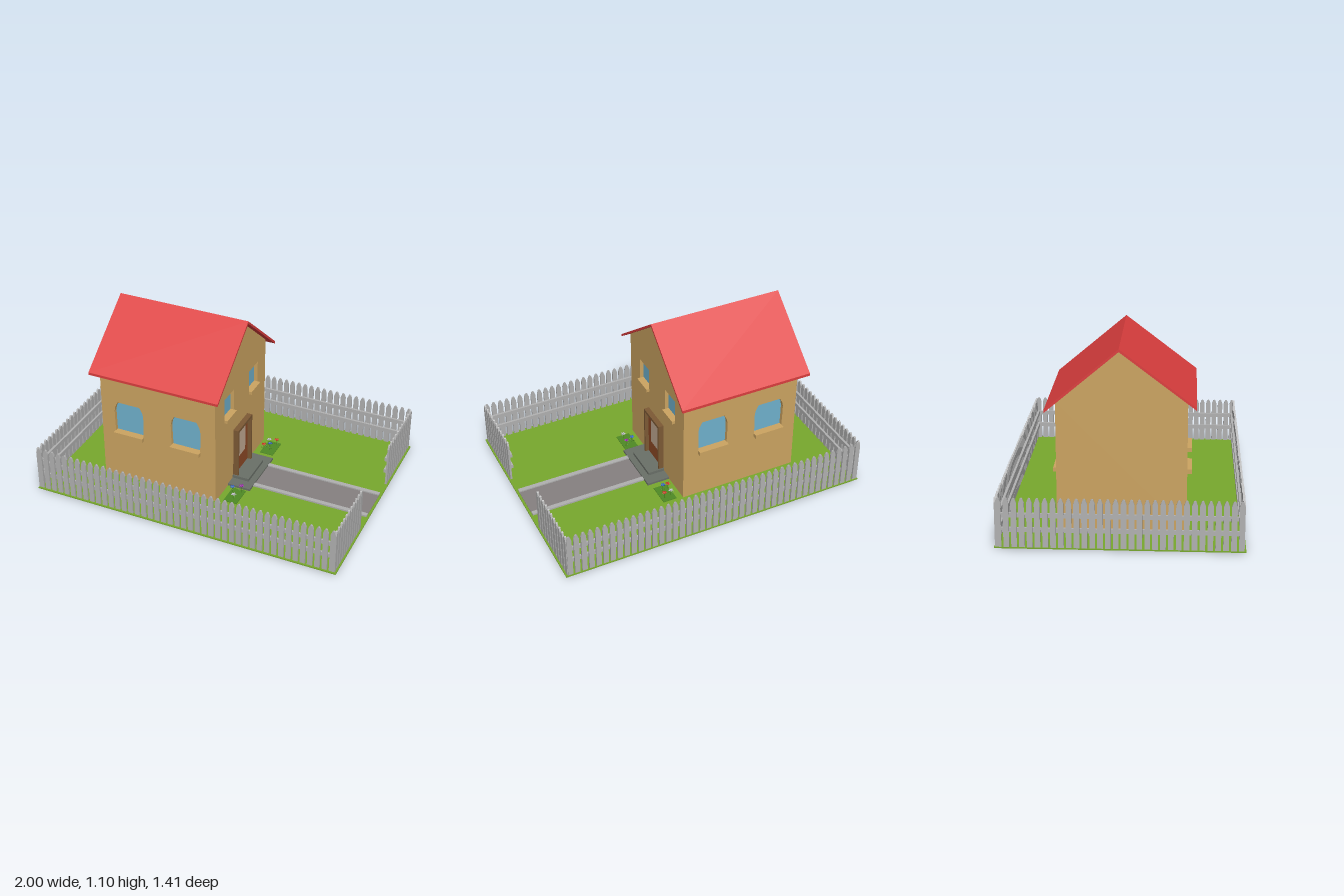
import * as THREE from 'three';
import { mergeGeometries } from 'three/addons/utils/BufferGeometryUtils.js';

const mat = (color) => new THREE.MeshStandardMaterial({ color, flatShading: true, side: THREE.DoubleSide });
const M = {
  grass: mat(0x78a82d), wall: mat(0xcca461), roof: mat(0xdc3e3e), glass: mat(0x70b1cd),
  frame: mat(0x7d5a35), door: mat(0x8f4a26), pane: mat(0xc4ab94), step: mat(0x6a7068),
  path: mat(0x868180), kerb: mat(0xb0b0b0), fence: mat(0xb2b2b2), leaf: mat(0x4f8a25),
  red: mat(0xd03020), blue: mat(0x3060c8), purple: mat(0xa020b0), white: mat(0xb8b8c0),
};

export function createModel() {
  const root = new THREE.Group();
  const add = (name, geo, m, parent = root) => {
    const mesh = new THREE.Mesh(geo, m);
    mesh.name = name;
    parent.add(mesh);
    return mesh;
  };
  // Box given by its min and max corners
  const box = (name, m, x0, x1, y0, y1, z0, z1, parent = root) => {
    const b = add(name, new THREE.BoxGeometry(x1 - x0, y1 - y0, z1 - z0), m, parent);
    b.position.set((x0 + x1) / 2, (y0 + y1) / 2, (z0 + z1) / 2);
    return b;
  };
  const poly = (pts) => new THREE.Shape(pts.map((p) => new THREE.Vector2(...p)));
  const extrude = (shape, depth) => new THREE.ExtrudeGeometry(shape, { depth, bevelEnabled: false });

  // Ground
  box('lawn', M.grass, -1, 1, 0.006, 0.013, -0.71, 0.705);
  box('foundationStrip', M.frame, -0.7, 0.08, 0.004, 0.012, -0.385, -0.26);

  // House walls with window openings
  const house = new THREE.Group();
  house.name = 'house';
  root.add(house);
  const T = 0.03;
  const windowXs = [-0.51, -0.12];
  const arch = (c) => [[c - 0.097, 0.34], [c + 0.097, 0.34], [c + 0.1, 0.44], [c + 0.1, 0.5],
    [c + 0.094, 0.53], [c + 0.075, 0.565], [c - 0.075, 0.565], [c - 0.094, 0.53], [c - 0.1, 0.5], [c - 0.1, 0.44]];
  for (const [name, face, s] of [['front', 0.37, 1], ['back', -0.385, -1]]) {
    const shape = poly([[-0.68, 0.01], [0.06, 0.01], [0.06, 0.785], [-0.68, 0.785]]);
    for (const c of windowXs) shape.holes.push(poly(arch(c)));
    add(name + 'Wall', extrude(shape, T), M.wall, house).position.z = s > 0 ? face - T : face;
    for (const c of windowXs) {
      const zg = face - s * 0.027;
      box(name + 'WindowGlass', M.glass, c - 0.11, c + 0.11, 0.32, 0.58, zg - 0.003, zg + 0.003, house);
      const zs = face + s * 0.003;
      box(name + 'WindowSill', M.wall, c - 0.1, c + 0.1, 0.328, 0.354, zs - 0.024, zs + 0.024, house);
    }
  }
  // Gable outlines run along -z
  const gable = () => poly([[-0.37, 0.01], [0.385, 0.01], [0.385, 0.78], [0.02, 1.088], [-0.37, 0.79]]);
  const rightGable = gable();
  for (const c of [-0.167, 0.197]) {
    rightGable.holes.push(poly([[c - 0.068, 0.52], [c + 0.068, 0.52], [c + 0.068, 0.68], [c - 0.068, 0.68]]));
    box('gableWindowGlass', M.glass, 0.05, 0.056, 0.5, 0.7, -c - 0.08, -c + 0.08, house);
    box('gableWindowSill', M.wall, 0.055, 0.1, 0.514, 0.534, -c - 0.068, -c + 0.068, house);
  }
  for (const [name, shape, x] of [['doorGable', rightGable, 0.08 - T], ['plainGable', gable(), -0.7]]) {
    const g = add(name, extrude(shape, T), M.wall, house);
    g.rotation.y = Math.PI / 2;
    g.position.x = x;
  }

  // Roof: one folded sheet along x
  const roof = add('roof', extrude(poly([[-0.42, 0.752], [-0.42, 0.768], [0.02, 1.104], [0.445, 0.746],
    [0.445, 0.728], [0.02, 1.087]]), 0.87), M.roof, house);
  roof.rotation.y = Math.PI / 2;
  roof.position.x = -0.75;

  // Door with frame and pane
  const entrance = new THREE.Group();
  entrance.name = 'entrance';
  root.add(entrance);
  for (const s of [-1, 1]) box('doorPost', M.frame, 0.075, 0.115, 0.02, 0.385, s * 0.1 - 0.007, s * 0.1 + 0.007, entrance);
  box('doorLintel', M.frame, 0.075, 0.115, 0.367, 0.385, -0.107, 0.107, entrance);
  box('door', M.door, 0.078, 0.09, 0.04, 0.37, -0.095, 0.095, entrance);
  box('doorPane', M.pane, 0.085, 0.092, 0.15, 0.33, -0.052, 0.052, entrance);

  // Steps and path
  box('lowerStep', M.step, 0.04, 0.23, 0, 0.027, -0.187, 0.187);
  box('upperStep', M.step, 0.07, 0.19, 0.027, 0.046, -0.115, 0.115);
  box('path', M.path, 0.225, 0.985, 0.01, 0.016, -0.105, 0.105);
  for (const s of [-1, 1]) box('pathKerb', M.kerb, 0.225, 0.985, 0.01, 0.024, s * 0.117 - 0.014, s * 0.117 + 0.014);

  // Flower beds
  box('flowerBed', M.leaf, 0.12, 0.21, 0.008, 0.017, -0.375, -0.23);
  box('flowerBed', M.leaf, 0.12, 0.21, 0.008, 0.017, 0.2, 0.345);
  const flowers = [[0.14, -0.335, 'white'], [0.19, -0.345, 'red'], [0.17, -0.28, 'blue'], [0.13, -0.27, 'red'],
    [0.14, 0.25, 'blue'], [0.19, 0.225, 'purple'], [0.175, 0.31, 'white']];
  flowers.forEach(([x, z, color], i) => {
    const f = new THREE.Group();
    f.name = 'flower';
    f.position.set(x, 0.015, z);
    f.rotation.y = i * 1.3;
    root.add(f);
    const h = 0.043 + 0.006 * (i % 3);
    add('stem', new THREE.CylinderGeometry(0.002, 0.002, h, 5), M.leaf, f).position.y = h / 2;
    for (const s of [-1, 1]) {
      const leaf = add('leaf', new THREE.SphereGeometry(1, 6, 4), M.leaf, f);
      leaf.scale.set(0.013, 0.002, 0.004);
      leaf.position.set(s * 0.011, 0.02, 0);
      leaf.rotation.z = s * 0.6;
    }
    for (let k = 0; k < 5; k++) {
      const a = (k / 5) * Math.PI * 2;
      const petal = add('petal', new THREE.SphereGeometry(1, 6, 4), M[color], f);
      petal.scale.set(0.008, 0.003, 0.005);
      petal.position.set(Math.cos(a) * 0.009, h, Math.sin(a) * 0.009);
      petal.rotation.y = -a;
    }
  });

  // Picket fence: each run starts at (x, z) and heads along its local +x, rails on local -z
  const picket = extrude(poly([[-0.016, 0.014], [0.016, 0.014], [0.016, 0.278], [0.007, 0.303], [0, 0.308],
    [-0.007, 0.303], [-0.016, 0.278]]), 0.012);
  const fenceRun = (name, x, z, angle, length, count) => {
    const run = new THREE.Group();
    run.name = name;
    run.position.set(x, 0, z);
    run.rotation.y = angle;
    root.add(run);
    const parts = [];
    for (let i = 0; i < count; i++) parts.push(picket.clone().translate(0.016 + (i * (length - 0.032)) / (count - 1), 0, -0.012));
    add('pickets', mergeGeometries(parts), M.fence, run);
    for (const y of [0.113, 0.2]) box('rail', M.fence, 0, length, y - 0.013, y + 0.013, -0.026, -0.012, run);
  };
  const q = Math.PI / 2;
  fenceRun('frontFence', -0.995, 0.695, 0, 1.98, 44);
  fenceRun('backFence', 0.985, -0.705, Math.PI, 1.98, 44);
  fenceRun('leftEndFence', -0.998, -0.7, -q, 1.395, 32);
  fenceRun('gateFenceFront', 0.99, 0.695, q, 0.445, 11);
  fenceRun('gateFenceBack', 0.99, -0.24, q, 0.46, 11);

  return root;
}
